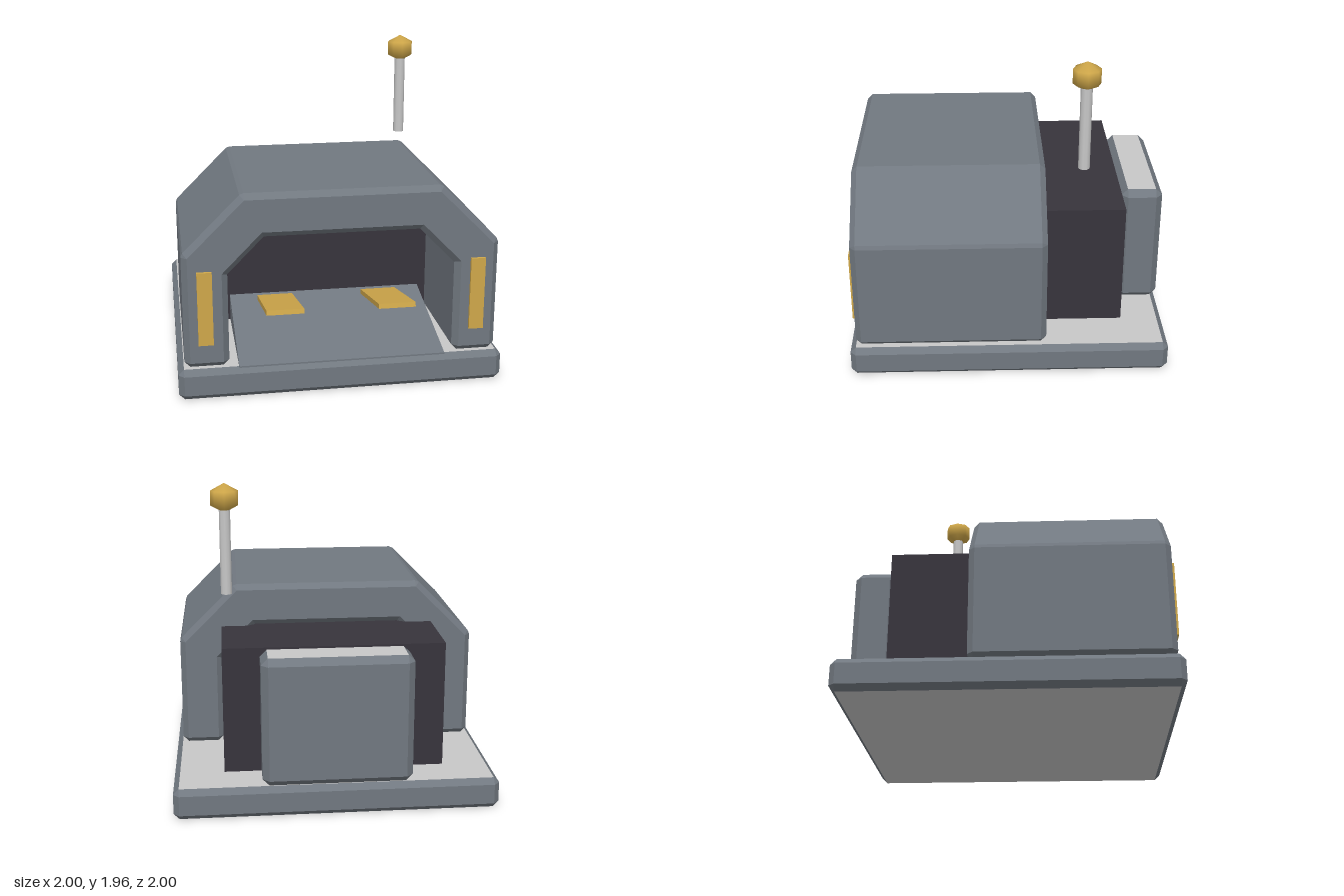
import * as THREE from 'three';

const mat = (name, color) => Object.assign(new THREE.MeshStandardMaterial({ color }), { name });

// Prism along z with chamfered rims and convex corners; pts is the counter-clockwise end face.
// Group 0 = end faces, group 1 = sides and chamfers.
function chamferPrism(pts, z0, z1, c) {
  const p = pts.map(([x, y]) => new THREE.Vector2(x, y));
  const n = p.length;
  const normal = (i) => {
    const d = p[(i + 1) % n].clone().sub(p[i % n]).normalize();
    return new THREE.Vector2(d.y, -d.x);
  };
  const cap = [], body = [];
  p.forEach((q, i) => {
    const a = normal(i + n - 1), b = normal(i);
    cap.push(q, q);
    if (a.cross(b) < 0) {
      const m = a.clone().add(b).multiplyScalar(c / (1 + a.dot(b))).add(q);
      body.push(m, m);
    } else {
      body.push(a.multiplyScalar(c).add(q), b.multiplyScalar(c).add(q));
    }
  });
  const pos = [];
  const tri = (...vs) => {
    if (new THREE.Triangle(...vs).getArea() > 1e-8) vs.forEach((v) => pos.push(v.x, v.y, v.z));
  };
  const at = (v, z) => new THREE.Vector3(v.x, v.y, z);
  for (const [i, j, k] of THREE.ShapeUtils.triangulateShape(p, [])) {
    tri(at(p[i], z1), at(p[j], z1), at(p[k], z1));
    tri(at(p[k], z0), at(p[j], z0), at(p[i], z0));
  }
  const capCount = pos.length / 3;
  const rings = [[cap, z1], [body, z1 - c], [body, z0 + c], [cap, z0]];
  for (let r = 0; r < 3; r++) {
    const [up, zu] = rings[r], [lo, zl] = rings[r + 1];
    for (let i = 0; i < 2 * n; i++) {
      const j = (i + 1) % (2 * n);
      tri(at(lo[i], zl), at(lo[j], zl), at(up[j], zu));
      tri(at(lo[i], zl), at(up[j], zu), at(up[i], zu));
    }
  }
  const g = new THREE.BufferGeometry();
  g.setAttribute('position', new THREE.Float32BufferAttribute(pos, 3));
  g.addGroup(0, capCount, 0);
  g.addGroup(capCount, pos.length / 3 - capCount, 1);
  g.computeVertexNormals();
  return g;
}

// Upright chamfered block standing on y0
function chamferBlock(w, d, y0, y1, c) {
  const x = w / 2 - c, z = d / 2 - c;
  return chamferPrism([[-x, -z], [x, -z], [x, z], [-x, z]], y0, y1, c).rotateX(-Math.PI / 2);
}

export function createModel() {
  const slate = mat('slate', 0x717880);
  const light = mat('lightGrey', 0xc8c8c8);
  const dark = mat('charcoal', 0x37343c);
  const gold = mat('gold', 0xd0a84a);

  const model = new THREE.Group();
  model.name = 'garageBuilding';
  const add = (name, geometry, material, x = 0, y = 0, z = 0) => {
    const mesh = new THREE.Mesh(geometry, material);
    mesh.name = name;
    mesh.position.set(x, y, z);
    model.add(mesh);
    return mesh;
  };

  // Foundation slab with pale top and underside
  add('base', chamferBlock(2, 2, 0, 0.195, 0.035), [light, slate]);

  // Arched hull, open at the front
  const half = [[0.725, 0.23], [0.925, 0.23], [0.925, 0.895], [0.585, 1.235]];
  const mirror = ([x, y]) => [-x, y];
  const arch = [
    ...half, ...half.map(mirror).reverse(),
    [-0.725, 0.79], [-0.485, 1.035], [0.485, 1.035], [0.725, 0.79],
  ];
  add('hull', chamferPrism(arch, -0.23, 0.965, 0.035), [slate, slate]);

  // Dark inner core and rear annex
  add('core', new THREE.BoxGeometry(1.378, 0.804, 0.98), dark, 0, 0.596, -0.24);
  add('rearAnnex', chamferBlock(0.92, 0.265, 0.195, 1, 0.042), [light, slate], 0, 0, -0.8675);

  // Entry ramp wedge, rising towards the core
  const wedge = new THREE.Shape([[-0.98, 0.19], [-0.25, 0.19], [-0.25, 0.37], [-0.98, 0.2]]
    .map(([x, y]) => new THREE.Vector2(x, y)));
  add('ramp', new THREE.ExtrudeGeometry(wedge, { depth: 1.27, bevelEnabled: false })
    .rotateY(Math.PI / 2).translate(-0.635, 0, 0), slate);

  // Tilted guide plates and front lamp strips
  for (const s of [-1, 1]) {
    const side = s > 0 ? 'left' : 'right';
    add(side + 'GuidePlate', new THREE.BoxGeometry(0.23, 0.03, 0.6), gold, s * 0.345, 0.44, 0.625)
      .rotation.x = -0.225;
    add(side + 'LampStrip', new THREE.BoxGeometry(0.09, 0.46, 0.05), gold, s * 0.828, 0.58, 0.958);
  }

  // Antenna with beacon
  add('antennaRod', new THREE.CylinderGeometry(0.036, 0.036, 0.53, 10), light, 0.65, 1.54, -0.46);
  add('beacon', new THREE.SphereGeometry(0.098, 8, 3).scale(1, 0.93, 1), gold, 0.65, 1.873, -0.46);

  return model;
}
